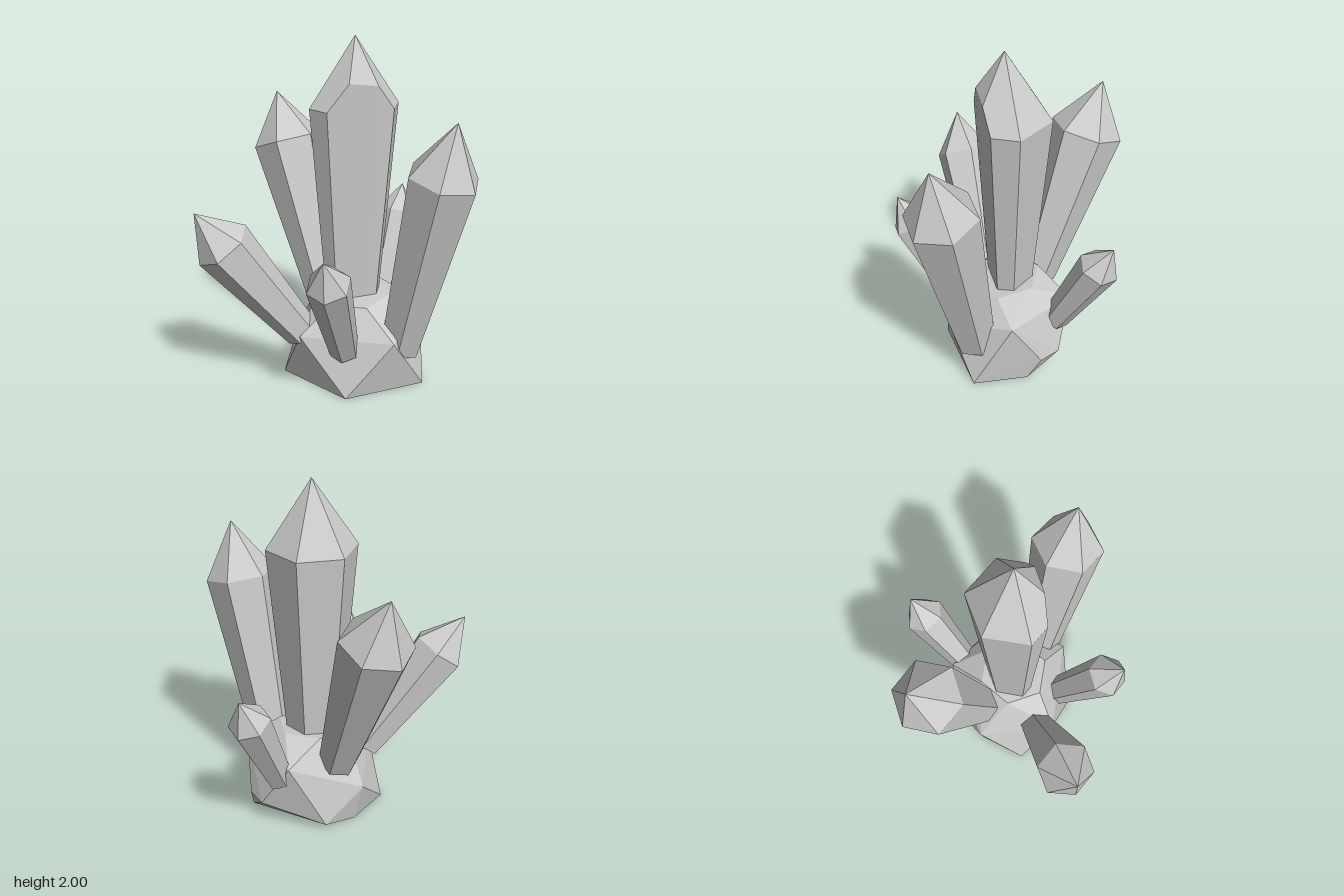
import * as THREE from 'three';
import { ConvexGeometry } from 'three/addons/geometries/ConvexGeometry.js';

const material = new THREE.MeshStandardMaterial({ color: 0xcccccc, flatShading: true });
const vec = (p) => new THREE.Vector3(...p);

function hull(name, points) {
  const mesh = new THREE.Mesh(new ConvexGeometry(points), material);
  mesh.name = name;
  return mesh;
}

// Six corners around an axis, turned by roll degrees from the x direction.
function hexRing(centre, axis, radius, roll) {
  const u = new THREE.Vector3(1, 0, 0).projectOnPlane(axis).normalize();
  const v = u.clone().cross(axis);
  return Array.from({ length: 6 }, (_, i) => {
    const angle = THREE.MathUtils.degToRad(roll + i * 60);
    return centre.clone()
      .addScaledVector(u, radius * Math.cos(angle))
      .addScaledVector(v, radius * Math.sin(angle));
  });
}

// Moves the first two corners back along their neighbouring sides.
const cutRing = (ring) => [
  ring[0].clone().lerp(ring[5], 0.4), ring[1].clone().lerp(ring[2], 0.5), ...ring.slice(2),
];

// Hexagonal shaft widening from foot to shoulder, closed by a pointed cap.
// A cut crystal has one broad extra face that bites into the cap.
function crystal({ name, foot, tip, neck, footRadius, radius, roll, cut = false }) {
  const base = vec(foot);
  const apex = vec(tip);
  const axis = apex.clone().sub(base).normalize();
  const footRing = hexRing(base, axis, footRadius, roll);
  const shoulder = hexRing(base.clone().lerp(apex, neck), axis, radius, roll);
  if (!cut) return hull(name, [...footRing, ...shoulder, apex]);
  const bite = [shoulder[0].clone().lerp(apex, 0.35), shoulder[1].clone().lerp(apex, 0.4)];
  return hull(name, [...cutRing(footRing), ...cutRing(shoulder), ...bite, apex]);
}

const CRYSTALS = [
  { name: 'mainCrystal', foot: [0.03, 0.3, 0], tip: [0.04, 2, 0],
    neck: 0.775, footRadius: 0.145, radius: 0.257, roll: 30, cut: true },
  { name: 'leftCrystal', foot: [0.33, 0.23, 0.115], tip: [0.62, 1.62, 0.25],
    neck: 0.775, footRadius: 0.12, radius: 0.205, roll: 30 },
  { name: 'backRightCrystal', foot: [-0.165, 0.38, -0.16], tip: [-0.52, 1.565, -0.45],
    neck: 0.765, footRadius: 0.11, radius: 0.207, roll: 36 },
  { name: 'frontRightCrystal', foot: [-0.23, 0.31, 0.19], tip: [-0.74, 1.11, 0.47],
    neck: 0.75, footRadius: 0.1, radius: 0.165, roll: 21 },
  { name: 'smallFrontCrystal', foot: [0.035, 0.26, 0.27], tip: [0, 0.96, 0.645],
    neck: 0.77, footRadius: 0.085, radius: 0.125, roll: 30 },
  { name: 'smallBackCrystal', foot: [0.13, 0.31, -0.325], tip: [0.225, 0.965, -0.64],
    neck: 0.76, footRadius: 0.08, radius: 0.12, roll: 41 },
];

// Faceted rock: ground outline (x, z), girdle corners (x, y, z) and a sloping top.
const GROUND = [[0.06, 0.365], [0.465, 0.1], [0.35, -0.2], [-0.27, -0.15], [-0.36, 0.12]];
const GIRDLE = [
  [-0.15, 0.04, -0.32], [0.23, 0.14, -0.365], [0.33, 0.14, -0.28], [0.05, 0.42, -0.39],
  [0.41, 0.43, -0.12], [-0.32, 0.23, -0.15], [-0.22, 0.33, 0.29], [0.32, 0.33, 0.28],
];

function rock() {
  const ground = GROUND.map(([x, z]) => new THREE.Vector3(x, 0, z));
  const slope = new THREE.Vector3(0, 1, 0.1).normalize();
  const top = hexRing(new THREE.Vector3(0.04, 0.51, 0), slope, 0.21, 0);
  return hull('rockBase', [...ground, ...GIRDLE.map(vec), ...top]);
}

export function createModel() {
  const model = new THREE.Group();
  model.name = 'crystalCluster';
  model.add(rock(), ...CRYSTALS.map(crystal));
  return model;
}
